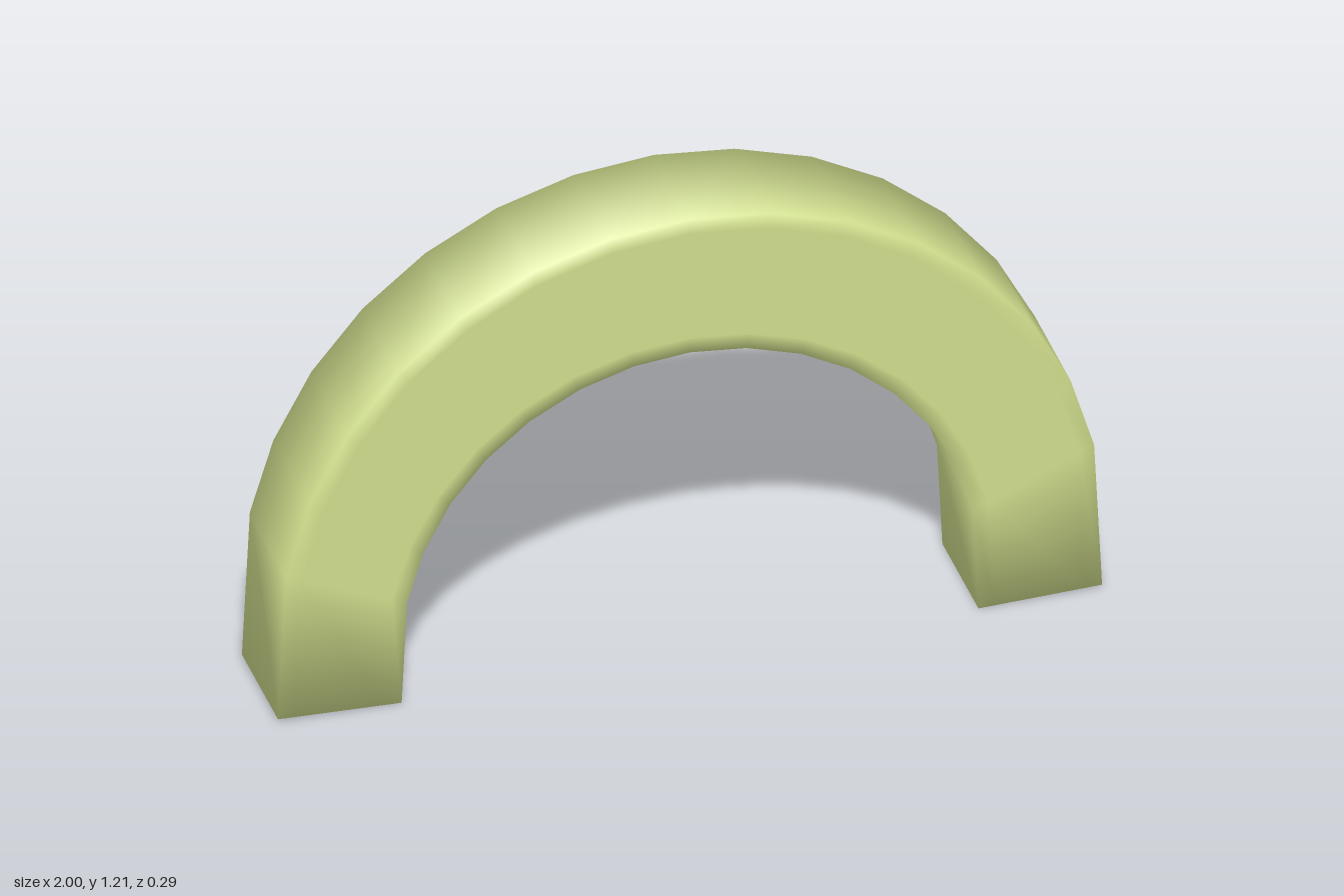
import * as THREE from 'three';

const HALF_DEPTH = 0.145, RIM = 0.04, STEPS = 8, SIDES = 8;

// Cross-section corners: [0 = outer .. 1 = inner edge, inset inward, z side, radial normal]
const SECTION = [
  [0, 0, 1, 1], [0, 0, -1, 1], [0, RIM, -1, 0], [1, -RIM, -1, 0],
  [1, 0, -1, -1], [1, 0, 1, -1], [1, -RIM, 1, 0], [0, RIM, 1, 0],
];

// One section of the arch at step k, shrunk towards its middle by t for the end caps
function addSection(positions, normals, k, t) {
  const angle = (k * Math.PI) / (2 * STEPS);
  const s = Math.sin(angle), c = Math.cos(angle);
  const foot = Math.abs(k) === STEPS;
  const outer = new THREE.Vector3(s, foot ? 0.01 : 0.205 + c, 0);
  const inner = new THREE.Vector3(0.7 * s, foot ? 0 : 0.138 + 0.7 * c, 0);
  const middle = outer.clone().lerp(inner, 0.5);
  const across = inner.clone().sub(outer).normalize();
  for (const [edge, inset, side, radial] of SECTION) {
    const p = (edge ? inner : outer).clone().addScaledVector(across, inset);
    p.z = side * HALF_DEPTH;
    p.lerp(middle, t);
    const n = t > 0
      ? new THREE.Vector3(0, -1, 0)
      : new THREE.Vector3(radial * s, radial * c - (foot ? 1 : 0), side).normalize();
    positions.push(p.x, p.y, p.z);
    normals.push(n.x, n.y, n.z);
  }
}

function archGeometry() {
  // Left foot cap, the sweep over the top, right foot cap
  const stations = [[-STEPS, 1], [-STEPS, 0.2]];
  for (let k = -STEPS; k <= STEPS; k++) stations.push([k, 0]);
  stations.push([STEPS, 0.2], [STEPS, 1]);

  const positions = [], normals = [], index = [];
  for (const [k, t] of stations) addSection(positions, normals, k, t);

  const last = stations.length - 2;
  for (let j = 0; j <= last; j++) {
    for (let i = 0; i < SIDES; i++) {
      const next = (i + 1) % SIDES;
      const a = j * SIDES + i, b = j * SIDES + next;
      const c = b + SIDES, d = a + SIDES;
      if (j < last) index.push(a, d, c);
      if (j > 0) index.push(a, c, b);
    }
  }
  const geometry = new THREE.BufferGeometry();
  geometry.setAttribute('position', new THREE.Float32BufferAttribute(positions, 3));
  geometry.setAttribute('normal', new THREE.Float32BufferAttribute(normals, 3));
  geometry.setIndex(index);
  return geometry;
}

export function createModel() {
  const group = new THREE.Group();
  group.name = 'archBlock';
  const arch = new THREE.Mesh(archGeometry(), new THREE.MeshStandardMaterial({ color: 0xcfdd8c }));
  arch.name = 'arch';
  group.add(arch);
  return group;
}
